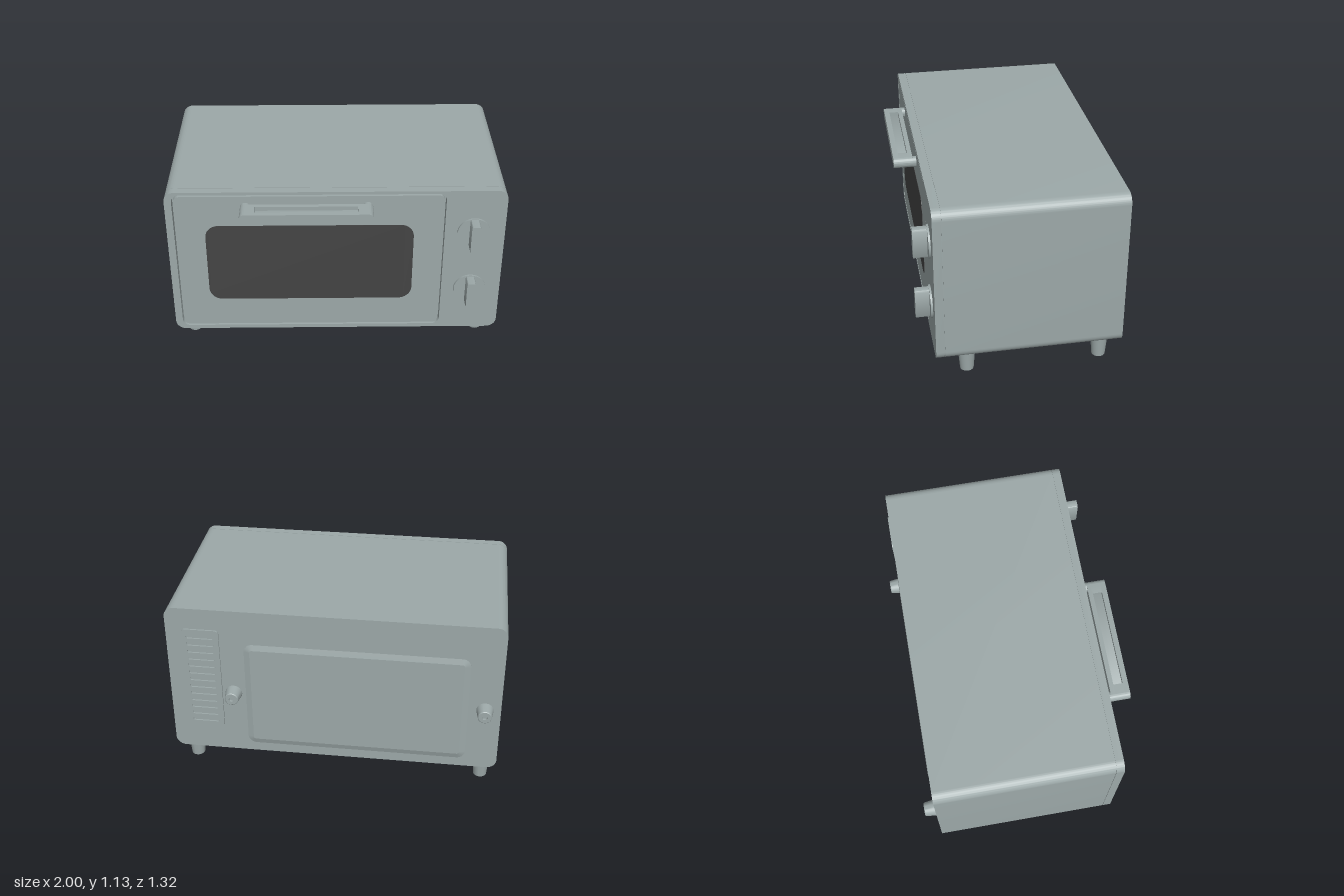
import * as THREE from 'three';
import { toCreasedNormals } from 'three/addons/utils/BufferGeometryUtils.js';

const enamel = new THREE.MeshStandardMaterial({ color: 0x9ca8a8 });
enamel.name = 'grey enamel';
const darkGlass = new THREE.MeshStandardMaterial({ color: 0x444444 });
darkGlass.name = 'dark glass';

// Rounded rectangle outline given by its limits
function roundRect(x0, x1, y0, y1, r, Type = THREE.Shape) {
  const s = new Type();
  s.moveTo(x0 + r, y0);
  s.lineTo(x1 - r, y0);
  s.absarc(x1 - r, y0 + r, r, -Math.PI / 2, 0);
  s.lineTo(x1, y1 - r);
  s.absarc(x1 - r, y1 - r, r, 0, Math.PI / 2);
  s.lineTo(x0 + r, y1);
  s.absarc(x0 + r, y1 - r, r, Math.PI / 2, Math.PI);
  s.lineTo(x0, y0 + r);
  s.absarc(x0 + r, y0 + r, r, Math.PI, Math.PI * 1.5);
  return s;
}

// Extrude an outline between two z values
function slab(shape, z0, z1) {
  const g = new THREE.ExtrudeGeometry(shape, { depth: z1 - z0, bevelEnabled: false, curveSegments: 10 });
  g.translate(0, 0, z0);
  return toCreasedNormals(g, 0.6);
}

// Tapered foot with a small screw hole in its tip, tip at y = 0
function footGeometry(length) {
  const profile = [[0, 0.015], [0.016, 0.015], [0.016, 0], [0.037, 0], [0.041, 0.004], [0.052, length], [0, length]];
  const g = new THREE.LatheGeometry(profile.map(([x, y]) => new THREE.Vector2(x, y)), 32);
  return toCreasedNormals(g, 0.6);
}

export function createModel() {
  const model = new THREE.Group();
  model.name = 'toasterOven';
  const add = (name, geometry, parent = model, material = enamel) => {
    const mesh = new THREE.Mesh(geometry, material);
    mesh.name = name;
    parent.add(mesh);
    return mesh;
  };

  // Housing and front frame, separated by a fine seam
  add('housing', slab(roundRect(-1, 1, 0.14, 1.135, 0.06), -0.585, 0.472));
  add('seam', slab(roundRect(-0.996, 0.996, 0.144, 1.131, 0.056), 0.47, 0.478));
  const frame = roundRect(-1, 1, 0.14, 1.135, 0.06);
  frame.holes.push(roundRect(-0.957, 0.642, 0.165, 1.117, 0.045, THREE.Path));
  add('frontFrame', slab(frame, 0.476, 0.525));

  // Door with its window
  const door = new THREE.Group();
  door.name = 'door';
  model.add(door);
  add('doorPanel', slab(roundRect(-0.946, 0.631, 0.176, 1.106, 0.036), 0.476, 0.524), door);
  add('window', slab(roundRect(-0.775, 0.46, 0.37, 0.905, 0.08), 0.522, 0.526), door, darkGlass);

  // Handle: rounded bar with a trough in its top, two mounts and a lower lip
  const handle = new THREE.Group();
  handle.name = 'handle';
  door.add(handle);
  const bar = () => roundRect(-0.56, 0.215, 1.0, 1.065, 0.031);
  add('handleFront', slab(bar(), 0.628, 0.66), handle);
  add('handleBack', slab(bar(), 0.545, 0.572), handle);
  add('handleTroughFloor', slab(roundRect(-0.48, 0.13, 1.0, 1.04, 0.002), 0.572, 0.628), handle);
  for (const [x0, x1, side] of [[-0.56, -0.47, -1], [0.125, 0.215, 1]]) {
    const end = new THREE.Shape();
    const outer = side < 0 ? x0 : x1;
    const inner = side < 0 ? x1 : x0;
    const c = outer - side * 0.031;
    end.moveTo(inner, 1.0);
    end.lineTo(c, 1.0);
    end.absarc(c, 1.031, 0.031, -Math.PI / 2, side < 0 ? -Math.PI : 0, side < 0);
    end.lineTo(outer, 1.034);
    end.absarc(c, 1.034, 0.031, side < 0 ? Math.PI : 0, Math.PI / 2, side < 0);
    end.lineTo(inner, 1.065);
    add('handleEnd', slab(end, 0.572, 0.628), handle);
    const mount = side < 0 ? [-0.56, -0.5] : [0.155, 0.215];
    add('handleMount', slab(roundRect(mount[0], mount[1], 1.0, 1.065, 0.029), 0.52, 0.546), handle);
  }
  add('handleLip', slab(roundRect(-0.47, 0.11, 0.957, 1.02, 0.02), 0.552, 0.565), handle);

  // Control knobs
  for (const y of [0.85, 0.442]) {
    const knob = new THREE.Group();
    knob.name = 'knob';
    knob.position.set(0.815, y, 0);
    model.add(knob);
    const disc = new THREE.CylinderGeometry(0.098, 0.098, 0.017, 48);
    disc.rotateX(Math.PI / 2).translate(0, 0, 0.5285);
    add('knobDisc', disc, knob);
    add('knobGrip', slab(roundRect(-0.027, 0.027, -0.093, 0.093, 0.012), 0.53, 0.62), knob);
  }

  // Feet
  const foot = footGeometry(0.145);
  for (const x of [-0.91, 0.9]) {
    for (const z of [0.335, -0.47]) add('foot', foot, model).position.set(x, 0, z);
  }

  // Rear wall spacers
  const spacer = footGeometry(0.08).rotateX(Math.PI / 2);
  for (const x of [-0.905, 0.61]) add('rearSpacer', spacer).position.set(x, 0.565, -0.66);

  // Raised back panel with sloped edges
  const panel = new THREE.ExtrudeGeometry(roundRect(-0.805, 0.535, 0.2, 0.915, 0.05), {
    depth: 0.002, bevelThickness: 0.01, bevelSize: 0.035, bevelOffset: -0.035, bevelSegments: 1, curveSegments: 8,
  });
  add('backPanel', panel.translate(0, 0, -0.586));

  // Louvred vent plate on the back
  const vent = roundRect(0.68, 0.905, 0.31, 1.0, 0.025);
  for (let i = 0; i < 13; i++) {
    const y = 0.357 + i * 0.0495;
    vent.holes.push(roundRect(0.71, 0.875, y - 0.012, y + 0.012, 0.011, THREE.Path));
  }
  add('ventPlate', slab(vent, -0.595, -0.584));

  return model;
}
